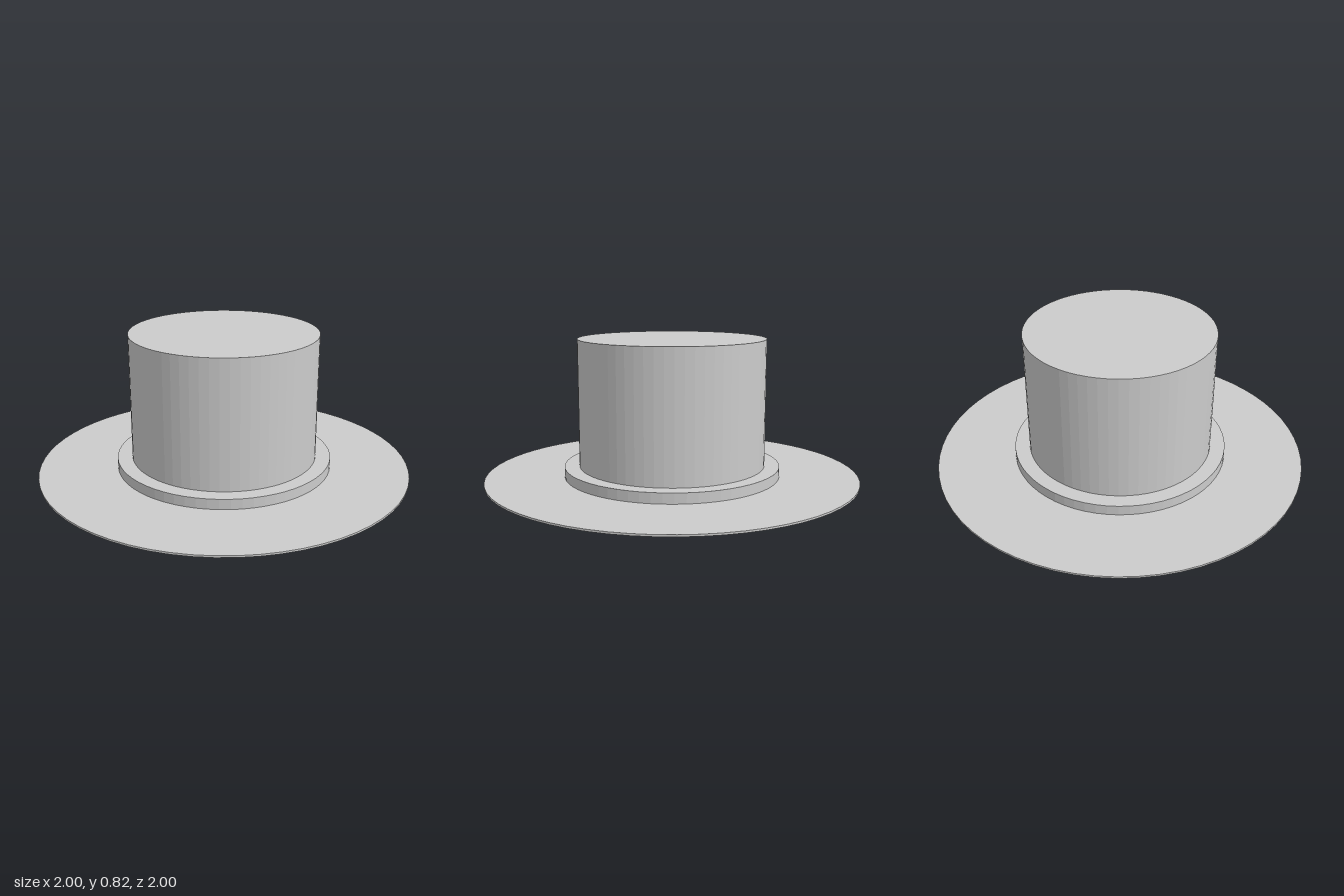
import * as THREE from 'three';

const SEGMENTS = 64;
const OUTER = 0.5;    // crown radius
const INNER = 0.473;  // radius of the hollow
const BAND = 0.58;    // band radius
const BAND_TOP = 0.14;
const TOP = 0.82;

const material = new THREE.MeshStandardMaterial({ color: 0xcccccc, flatShading: true });

// Turns a [radius, height] profile; the outside runs upwards
function turned(name, profile) {
  const points = profile.map(([r, y]) => new THREE.Vector2(r, y));
  const mesh = new THREE.Mesh(new THREE.LatheGeometry(points, SEGMENTS), material);
  mesh.name = name;
  return mesh;
}

export function createModel() {
  const hat = new THREE.Group();
  hat.name = 'topHat';

  // Hollow crown, closed at the top and open below
  hat.add(turned('crown', [
    [OUTER, BAND_TOP], [OUTER, TOP], [0, TOP],
  ]));
  hat.add(turned('crownLining', [
    [0, TOP - 0.027], [INNER, TOP - 0.027], [INNER, BAND_TOP],
  ]));

  // Thick band around the foot of the crown
  hat.add(turned('band', [
    [INNER, BAND_TOP], [INNER, 0], [BAND, 0], [BAND, BAND_TOP], [OUTER, BAND_TOP],
  ]));

  // Thin flat brim
  hat.add(turned('brim', [
    [BAND, 0.075], [1, 0.075], [1, 0.085], [BAND, 0.085],
  ]));

  return hat;
}
